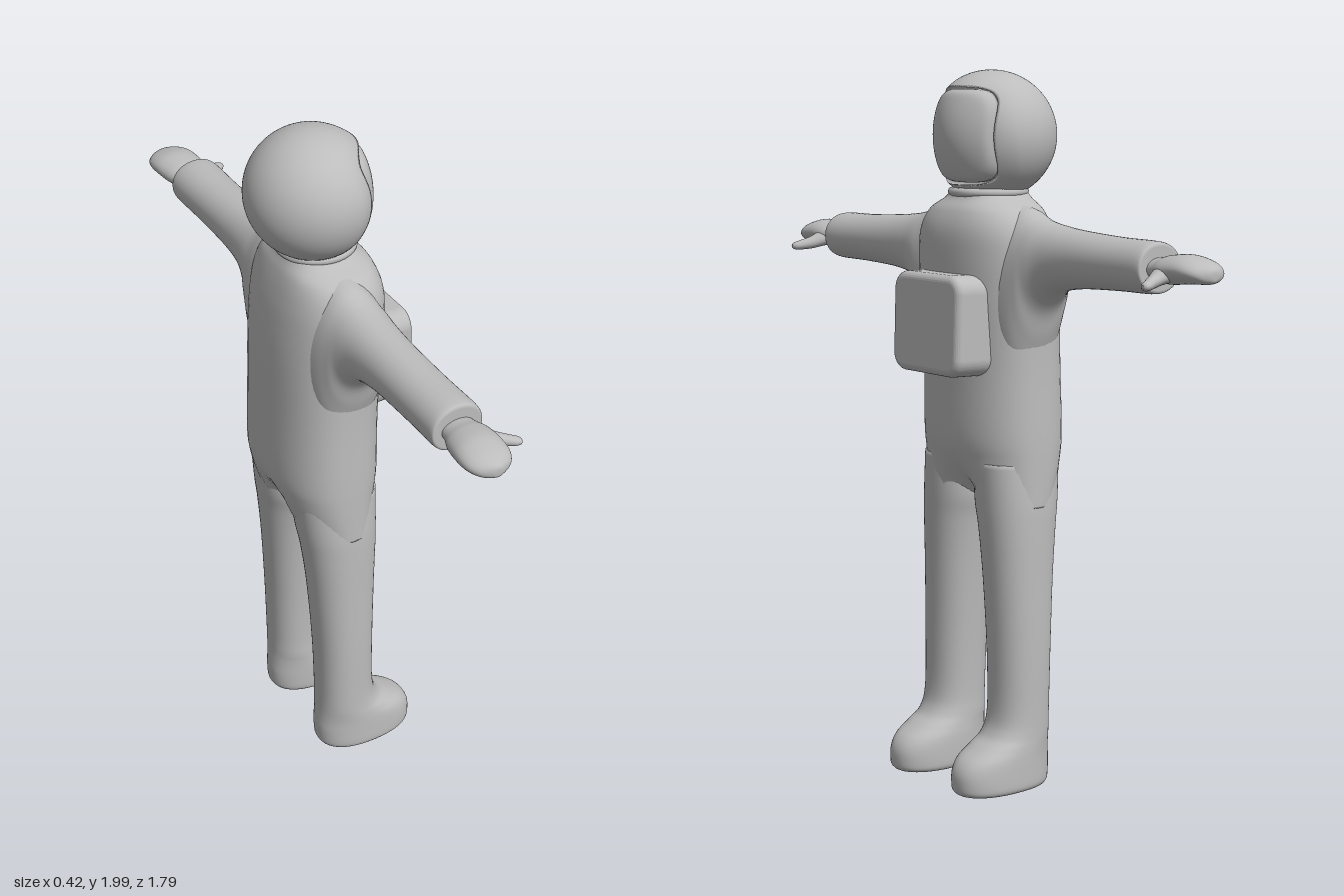
import * as THREE from 'three';

const SEG = 48;
const V = (x, y, z) => new THREE.Vector3(x, y, z);
const spow = (v, p) => Math.sign(v) * Math.pow(Math.abs(v), p);

// Skin closed rings of points into a smooth surface that faces outward
function skin(rows) {
  const n = rows[0].length, pts = rows.flat(), index = [];
  for (let r = 0; r < rows.length - 1; r++) {
    for (let i = 0; i < n; i++) {
      const j = (i + 1) % n, a = r * n + i, b = r * n + j;
      index.push(a, b, a + n, b, b + n, a + n);
    }
  }
  let volume = 0;
  for (let i = 0; i < index.length; i += 3) {
    const [a, b, c] = [pts[index[i]], pts[index[i + 1]], pts[index[i + 2]]];
    volume += a.dot(b.clone().cross(c));
  }
  if (volume < 0) index.reverse();
  const geo = new THREE.BufferGeometry().setFromPoints(pts);
  geo.setIndex(index);
  geo.computeVertexNormals();
  return geo;
}

// Smooth interpolation between section rows
function sample(secs, u) {
  const i = Math.min(Math.floor(u), secs.length - 2), t = u - i;
  const at = k => secs[Math.max(0, Math.min(secs.length - 1, k))];
  return secs[i].map((p1, k) => {
    const p0 = at(i - 1)[k], p2 = at(i + 1)[k], p3 = at(i + 2)[k];
    const m1 = (p2 - p0) / 2, m2 = (p3 - p1) / 2;
    return (2 * t ** 3 - 3 * t * t + 1) * p1 + (t ** 3 - 2 * t * t + t) * m1
      + (3 * t * t - 2 * t ** 3) * p2 + (t ** 3 - t * t) * m2;
  });
}

// Loft superellipse sections [t, aMin, aMax, bMin, bMax]; place maps (t, a, b) to a point
function loft(secs, power, place, steps = 6) {
  const ring = (s, f) => Array.from({ length: SEG }, (_, i) => {
    const w = i / SEG * Math.PI * 2, [t, a0, a1, b0, b1] = s;
    return place(t,
      (a0 + a1) / 2 + f * (a1 - a0) / 2 * spow(Math.cos(w), 2 / power),
      (b0 + b1) / 2 + f * (b1 - b0) / 2 * spow(Math.sin(w), 2 / power));
  });
  const first = secs[0], last = secs[secs.length - 1], rows = [ring(first, 0), ring(first, 0.94)];
  const count = (secs.length - 1) * steps;
  for (let k = 0; k <= count; k++) rows.push(ring(sample(secs, k / steps), 1));
  rows.push(ring(last, 0.94), ring(last, 0));
  return skin(rows);
}

// Visor outline radius at an angle
const outline = (w, size) => size / Math.pow(Math.cos(w) ** 4 + Math.sin(w) ** 4, 0.25);
const angles = Array.from({ length: 96 }, (_, i) => i / 96 * Math.PI * 2);
const HEAD = V(-0.03, 1.822, 0);

// Round helmet with a rounded-square opening at the front
function helmetGeometry() {
  const rows = [0, 0.97].map(f => angles.map(w => {
    const r = outline(w, 0.134) * f;
    return V(0.04, HEAD.y + r * Math.sin(w), r * Math.cos(w));
  }));
  for (let k = 0; k <= 40; k++) {
    rows.push(angles.map(w => {
      const start = Math.asin(outline(w, 0.134) / 0.182);
      const th = start + (Math.PI - start) * k / 40;
      const cut = 0.022 * Math.cos(w) ** 2 * Math.max(0, 1 - k / 8);
      return V(HEAD.x + 0.18 * Math.cos(th) - cut,
        HEAD.y + 0.178 * Math.sin(th) * Math.sin(w),
        0.184 * Math.sin(th) * Math.cos(w));
    }));
  }
  return skin(rows);
}

// Curved visor with rounded border
function visorGeometry() {
  const rows = [];
  for (let k = 0; k <= 20; k++) {
    const f = Math.sin(k / 20 * Math.PI / 2);
    rows.push(angles.map(w => {
      const r = outline(w, 0.126) * f, y = r * Math.sin(w), z = r * Math.cos(w);
      const edge = 0.018 * Math.pow(f, 24);
      return V(0.126 - 2.2 * y * y - 3 * z * z - edge, HEAD.y + y, z);
    }));
  }
  rows.push(angles.map(w => {
    const r = outline(w, 0.126);
    return V(0.03, HEAD.y + r * Math.sin(w), r * Math.cos(w));
  }));
  rows.push(angles.map(() => V(0.03, HEAD.y, 0)));
  return skin(rows);
}

// Chest pack: rounded square with soft edges
function packGeometry() {
  const h = 0.13, v = 0.118, r = 0.03, s = new THREE.Shape();
  s.absarc(h - r, v - r, r, 0, Math.PI / 2);
  s.absarc(-h + r, v - r, r, Math.PI / 2, Math.PI);
  s.absarc(-h + r, -v + r, r, Math.PI, Math.PI * 1.5);
  s.absarc(h - r, -v + r, r, Math.PI * 1.5, Math.PI * 2);
  const geo = new THREE.ExtrudeGeometry(s, {
    depth: 0.1, bevelThickness: 0.02, bevelSize: 0.02, bevelSegments: 6, curveSegments: 8,
  });
  return geo.rotateY(Math.PI / 2);
}

export function createModel() {
  const model = new THREE.Group();
  const grey = new THREE.MeshStandardMaterial({ color: 0xbcbcbc });
  grey.name = 'suit grey';
  const add = (name, geo) => {
    const mesh = new THREE.Mesh(geo, grey);
    mesh.name = name;
    model.add(mesh);
    return mesh;
  };

  // Torso: sections up y, with a groove between the legs that fades out upward
  const torso = [
    [0.81, -0.135, 0.088, -0.226, 0.226], [0.86, -0.152, 0.094, -0.226, 0.226],
    [0.93, -0.172, 0.104, -0.226, 0.226], [1.01, -0.184, 0.115, -0.225, 0.225],
    [1.2, -0.181, 0.118, -0.22, 0.22], [1.38, -0.176, 0.13, -0.222, 0.222],
    [1.5, -0.165, 0.134, -0.222, 0.222], [1.57, -0.153, 0.13, -0.21, 0.21],
    [1.62, -0.14, 0.112, -0.178, 0.178], [1.65, -0.128, 0.088, -0.125, 0.125],
    [1.665, -0.122, 0.08, -0.105, 0.105],
  ];
  add('torso', loft(torso, 2.4, (y, x, z) => {
    const fade = Math.max(0, 1 - (y - 0.81) / 0.16);
    const groove = 0.85 * fade * fade * Math.exp(-((z / 0.05) ** 2));
    return V(-0.03 + (x + 0.03) * (1 - groove), y, z);
  }));

  // Neck ring under the helmet
  const collar = add('neckRing', new THREE.TorusGeometry(0.1, 0.012, 12, 48).rotateX(Math.PI / 2));
  collar.position.set(-0.02, 1.668, 0);

  add('helmet', helmetGeometry());
  add('visor', visorGeometry());
  const pack = add('chestPack', packGeometry());
  pack.position.set(0.083, 1.312, 0);
  pack.rotation.z = 0.03;

  // Limbs, mirrored across z
  const leg = [
    [0.01, -0.09, 0.195, 0.062, 0.228], [0.025, -0.097, 0.204, 0.055, 0.235],
    [0.07, -0.1, 0.203, 0.054, 0.235], [0.105, -0.098, 0.182, 0.055, 0.234],
    [0.135, -0.096, 0.135, 0.058, 0.232], [0.165, -0.095, 0.093, 0.06, 0.23],
    [0.23, -0.095, 0.072, 0.062, 0.229], [0.4, -0.1, 0.07, 0.056, 0.23],
    [0.6, -0.112, 0.076, 0.042, 0.228], [0.74, -0.126, 0.083, 0.026, 0.227],
    [0.82, -0.138, 0.087, 0.01, 0.225], [0.93, -0.15, 0.09, 0.008, 0.215],
  ];
  const arm = [
    [0.1, -0.14, 0.09, 1.12, 1.645], [0.18, -0.132, 0.085, 1.17, 1.63],
    [0.225, -0.12, 0.078, 1.27, 1.612], [0.255, -0.11, 0.07, 1.355, 1.602],
    [0.31, -0.1, 0.059, 1.408, 1.592], [0.4, -0.094, 0.053, 1.428, 1.583],
    [0.55, -0.093, 0.053, 1.436, 1.575], [0.68, -0.095, 0.055, 1.438, 1.573],
    [0.7, -0.089, 0.049, 1.446, 1.564],
  ];
  const hand = [
    [0.66, -0.06, 0.02, 1.475, 1.53], [0.715, -0.07, 0.03, 1.474, 1.535],
    [0.75, -0.084, 0.04, 1.468, 1.543], [0.8, -0.094, 0.04, 1.472, 1.547],
    [0.845, -0.092, 0.036, 1.475, 1.538], [0.875, -0.074, 0.02, 1.477, 1.526],
    [0.89, -0.045, -0.008, 1.483, 1.515], [0.893, -0.03, -0.022, 1.494, 1.504],
  ];
  // Thumb sections run forward along x: [x, zMin, zMax, yMin, yMax]
  const thumb = [
    [-0.01, 0.715, 0.79, 1.475, 1.525], [0.03, 0.723, 0.785, 1.47, 1.515],
    [0.06, 0.74, 0.782, 1.464, 1.5], [0.09, 0.757, 0.792, 1.461, 1.489],
    [0.107, 0.768, 0.794, 1.462, 1.483], [0.114, 0.777, 0.787, 1.468, 1.477],
  ];
  for (const [side, s] of [['right', 1], ['left', -1]]) {
    add(side + 'Leg', loft(leg, 2.3, (y, x, z) => V(x, y, s * z)));
    add(side + 'Arm', loft(arm, 2.1, (z, x, y) => V(x, y, s * z)));
    add(side + 'Mitten', loft(hand, 2, (z, x, y) => V(x, y, s * z)));
    add(side + 'Thumb', loft(thumb, 2, (x, z, y) => V(x, y, s * z)));
  }
  model.position.y = -0.005;
  const root = new THREE.Group();
  root.name = 'spaceSuit';
  root.add(model);
  return root;
}
